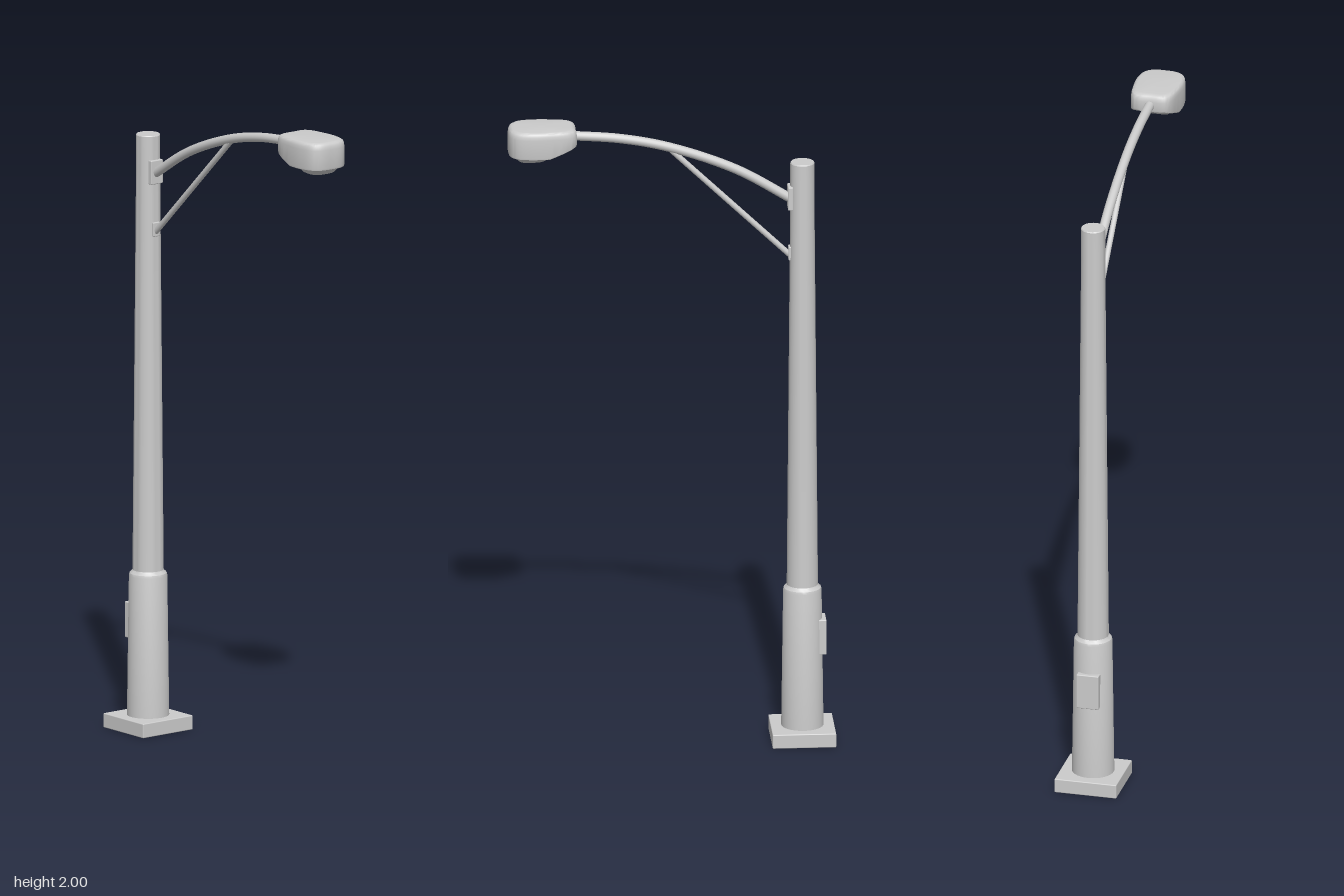
import * as THREE from 'three';
import { toCreasedNormals } from 'three/addons/utils/BufferGeometryUtils.js';
import { RoundedBoxGeometry } from 'three/addons/geometries/RoundedBoxGeometry.js';

const POLE_X = -0.403;

// Closed lofted solid: each ring is [scaleX, scaleZ, y, liftAmount] applied to the outline
function loft(outline, centreX, rings, lift) {
  const n = outline.length, pos = [], index = [];
  for (const [sx, sz, y, k] of rings) {
    for (const p of outline) {
      const x = centreX + (p.x - centreX) * sx;
      pos.push(x, y + k * lift(x), p.y * sz);
    }
  }
  for (let r = 0; r < rings.length - 1; r++) {
    for (let i = 0; i < n; i++) {
      const a = r * n + i, b = r * n + (i + 1) % n;
      index.push(a, a + n, b, b, a + n, b + n);
    }
  }
  const g = new THREE.BufferGeometry();
  g.setAttribute('position', new THREE.Float32BufferAttribute(pos, 3));
  g.setIndex(index);
  return toCreasedNormals(g, 0.6);
}

export function createModel() {
  const group = new THREE.Group();
  const material = new THREE.MeshStandardMaterial({ color: 0xcccccc });
  const add = (name, geometry, x = 0, y = 0, z = 0) => {
    const mesh = new THREE.Mesh(geometry, material);
    mesh.name = name;
    mesh.position.set(x, y, z);
    group.add(mesh);
    return mesh;
  };

  // Square footing
  add('basePlate', new RoundedBoxGeometry(0.195, 0.045, 0.195, 2, 0.003), POLE_X, 0.0225, 0);

  // Tapered pole with a thicker lower sleeve
  const profile = [
    [0, 0.04], [0.065, 0.04], [0.059, 0.482], [0.057, 0.49], [0.05, 0.497],
    [0.048, 0.5], [0.037, 1.76], [0.037, 1.862], [0.035, 1.865], [0, 1.865],
  ].map(([r, y]) => new THREE.Vector2(r, y));
  add('pole', toCreasedNormals(new THREE.LatheGeometry(profile, 32), 0.5), POLE_X);

  // Service hatch on the side away from the lamp
  add('serviceHatch', new RoundedBoxGeometry(0.03, 0.112, 0.07, 2, 0.003), -0.46, 0.335, 0);

  // Brackets for arm and brace
  add('armBracket', new RoundedBoxGeometry(0.016, 0.075, 0.046, 2, 0.003), -0.366, 1.752, 0);
  add('braceBracket', new RoundedBoxGeometry(0.014, 0.045, 0.026, 2, 0.003), -0.367, 1.572, 0);

  // Curved arm and its straight brace
  const armCurve = new THREE.CatmullRomCurve3([
    [-0.372, 1.745], [-0.2, 1.846], [0, 1.921], [0.15, 1.953], [0.315, 1.968],
  ].map(([x, y]) => new THREE.Vector3(x, y, 0)));
  add('arm', new THREE.TubeGeometry(armCurve, 40, 0.0145, 16));
  const braceCurve = new THREE.LineCurve3(
    new THREE.Vector3(-0.372, 1.558, 0), new THREE.Vector3(0.0, 1.914, 0));
  add('brace', new THREE.TubeGeometry(braceCurve, 1, 0.009, 12));

  // Lamp outline seen from above, mirrored across z
  const half = [[0.475, 0.064], [0.43, 0.075], [0.37, 0.073], [0.31, 0.062], [0.292, 0.046]];
  const loop = [[0.498, 0], [0.494, 0.04], ...half, [0.29, 0],
    ...half.map(([x, z]) => [x, -z]).reverse(), [0.494, -0.04]];
  const outline = new THREE.CatmullRomCurve3(
    loop.map(([x, z]) => new THREE.Vector3(x, z, 0)), true).getPoints(64).slice(0, 64);

  // Housing: the underside rises toward the arm
  const rise = (x) => THREE.MathUtils.clamp((0.375 - x) / 0.08, 0, 1) * 0.03;
  add('lampHousing', loft(outline, 0.4, [
    [0, 0, 1.914, 1], [0.3, 0.3, 1.914, 1], [0.6, 0.6, 1.914, 1], [0.8, 0.8, 1.914, 1],
    [0.95, 0.95, 1.914, 1], [0.985, 0.985, 1.916, 1], [1, 1, 1.921, 1],
    [1, 1, 1.978, 0], [0.985, 0.985, 1.988, 0], [0.95, 0.95, 1.995, 0],
    [0.88, 0.88, 1.999, 0], [0.8, 0.8, 2, 0], [0, 0, 2, 0],
  ], rise));

  // Lens tapering down from the housing
  const lens = add('lens', loft(outline, 0.4, [
    [0, 0, 1.895, 0], [0.36, 0.52, 1.895, 0], [0.4, 0.56, 1.897, 0],
    [0.56, 0.76, 1.915, 0], [0.56, 0.76, 1.925, 0], [0, 0, 1.925, 0],
  ], () => 0));
  lens.position.x = 0.03;

  return group;
}
